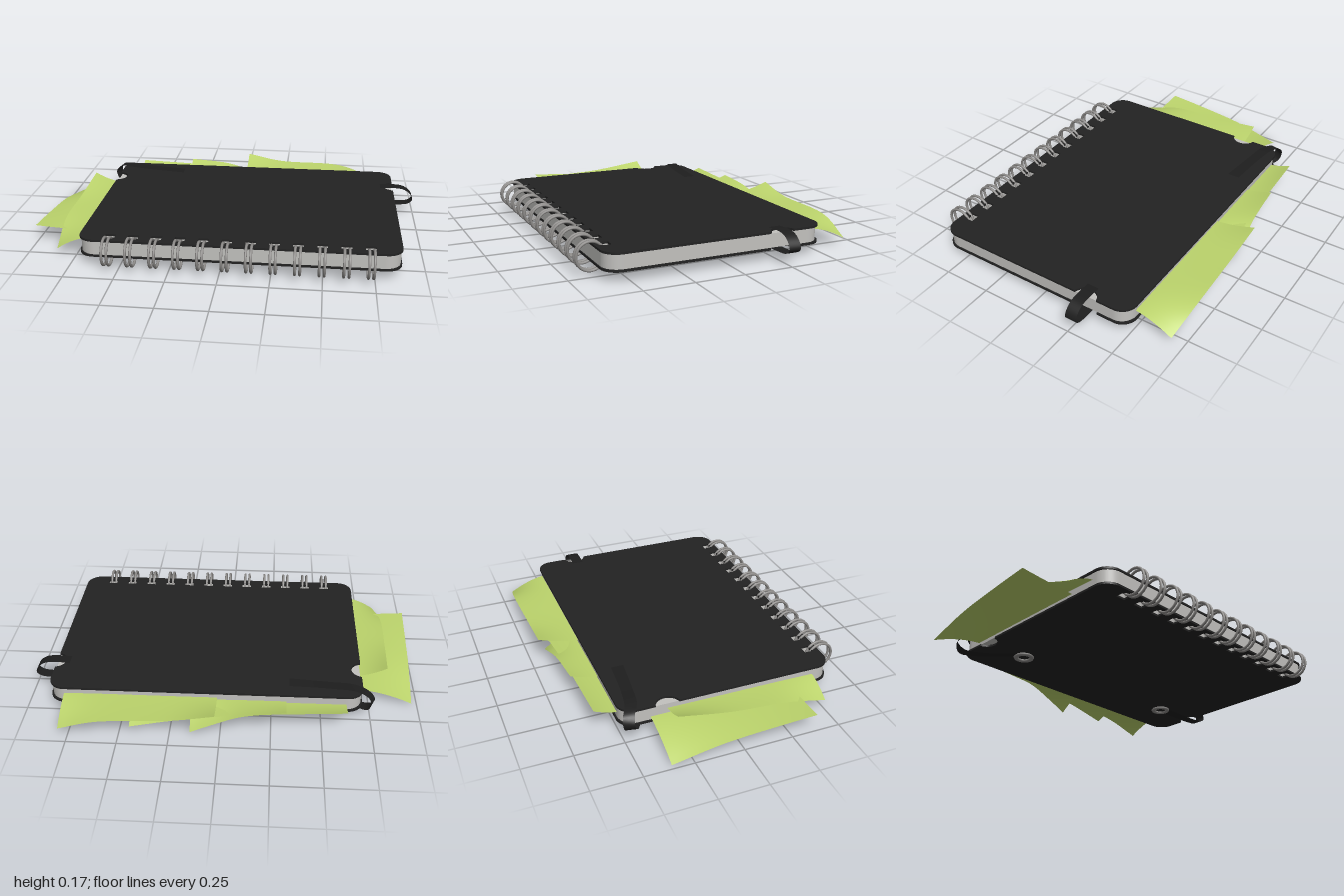
import * as THREE from 'three';

const HOLES = Array.from({ length: 12 }, (_, i) => -0.551 + i * 0.1162);

// Rounded outline in x/z, with optional half-round thumb notches and punched holes
function outline(x0, x1, z0, z1, r, notch) {
  const s = new THREE.Shape(), nz = -0.27;
  s.moveTo(x0 + r, z0);
  s.lineTo(x1 - r, z0);
  s.absarc(x1 - r, z0 + r, r, -Math.PI / 2, 0, false);
  if (notch) s.absarc(x1 + 0.012, nz, notch, -Math.PI / 2 - 0.2, Math.PI / 2 + 0.2, true);
  s.lineTo(x1, z1 - r);
  s.absarc(x1 - r, z1 - r, r, 0, Math.PI / 2, false);
  s.lineTo(x0 + r, z1);
  s.absarc(x0 + r, z1 - r, r, Math.PI / 2, Math.PI, false);
  if (notch) s.absarc(x0 - 0.012, nz, notch, Math.PI / 2 - 0.2, -Math.PI / 2 + 0.2, true);
  s.lineTo(x0, z0 + r);
  s.absarc(x0 + r, z0 + r, r, Math.PI, Math.PI * 1.5, false);
  for (const x of HOLES) {
    const h = new THREE.Path();
    h.moveTo(x - 0.026, 0.544);
    h.lineTo(x - 0.026, 0.583);
    h.lineTo(x + 0.026, 0.583);
    h.lineTo(x + 0.026, 0.544);
    h.closePath();
    s.holes.push(h);
  }
  return s;
}

// Horizontal plate between two heights
function plate(shape, yBottom, yTop) {
  const g = new THREE.ExtrudeGeometry(shape, { depth: yTop - yBottom, bevelEnabled: false, curveSegments: 12 });
  g.rotateX(Math.PI / 2);
  g.translate(0, yTop, 0);
  return g;
}

// Sheet lofted between two smooth edges; bend > 1 delays the change in height
function loft(edgeA, edgeB, nu, nv, bend = 1) {
  const curve = (e) => new THREE.CatmullRomCurve3(e.map((p) => new THREE.Vector3(...p)), false, 'centripetal');
  const a = curve(edgeA), b = curve(edgeB);
  const g = new THREE.PlaneGeometry(1, 1, nu, nv), pos = g.attributes.position;
  for (let j = 0, k = 0; j <= nv; j++) {
    for (let i = 0; i <= nu; i++, k++) {
      const v = j / nv, pa = a.getPoint(i / nu), pb = b.getPoint(i / nu);
      const p = pa.clone().lerp(pb, v);
      pos.setXYZ(k, p.x, pa.y + (pb.y - pa.y) * Math.pow(v, bend), p.z);
    }
  }
  g.computeVertexNormals();
  return g;
}

export function createModel() {
  const root = new THREE.Group();
  const mat = (name, color, side = THREE.FrontSide) => {
    const m = new THREE.MeshStandardMaterial({ color, side });
    m.name = name;
    return m;
  };
  const black = mat('black cover', 0x222222);
  const elastic = mat('black elastic', 0x1e1e1e, THREE.DoubleSide);
  const paper = mat('grey paper', 0xc2c1be);
  const green = mat('green notes', 0xbcd46c, THREE.DoubleSide);
  const metal = mat('metal', 0x8c8a88);
  const add = (name, geo, material, parent = root) => {
    const m = new THREE.Mesh(geo, material);
    m.name = name;
    parent.add(m);
    return m;
  };

  // Covers and page block
  const coverShape = outline(-0.71, 0.88, -0.505, 0.62, 0.08, 0.062);
  add('topCover', plate(coverShape, 0.137, 0.148), black);
  add('bottomCover', plate(coverShape, 0.056, 0.067), black);
  add('pages', plate(outline(-0.703, 0.873, -0.497, 0.615, 0.08, 0), 0.067, 0.137), paper);

  // Double wire binding
  const binding = new THREE.Group();
  binding.name = 'wireBinding';
  root.add(binding);
  const ringGeo = new THREE.TorusGeometry(0.068, 0.0068, 10, 36);
  ringGeo.rotateY(Math.PI / 2);
  for (const x of HOLES) {
    for (const d of [-1, 1]) {
      add('ring', ringGeo, metal, binding).position.set(x + d * 0.0125, 0.101, 0.64);
    }
  }

  // Sticky notes poking out at the back: left corner curls up, right corner droops
  const backNotes = [
    [[-0.625, 0.13, -0.61], [-0.1, 0.105, -0.625], [0.2, 0.08, -0.645], [0.45, 0.035, -0.655], 0.092],
    [[-0.325, 0.14, -0.637], [-0.1, 0.115, -0.65], [0.03, 0.07, -0.658], [0.15, 0.012, -0.655], 0.1],
    [[0.022, 0.162, -0.71], [0.22, 0.125, -0.705], [0.6, 0.105, -0.712], [0.8, 0.035, -0.69], 0.11],
  ];
  for (const [p, q, r, s, y] of backNotes) {
    const inner = [p, q, r, s].map(([x]) => [x, y, -0.46]);
    add('backNote', loft(inner, [p, q, r, s], 20, 8, 1.8), green);
  }

  // Sticky notes poking out at the side
  const sideNotes = [
    [[-0.975, 0.005, -0.355], [-0.985, 0.06, -0.1], [-0.993, 0.085, 0.15], [-1, 0.1, 0.375], 0.085],
    [[-0.845, 0.162, -0.27], [-0.86, 0.125, 0], [-0.866, 0.105, 0.28], [-0.845, 0.04, 0.515], 0.108],
  ];
  for (const [p, q, r, s, y] of sideNotes) {
    const inner = [p, q, r, s].map(([, , z]) => [-0.67, y, z]);
    add('sideNote', loft(inner, [p, q, r, s], 20, 8, 1.8), green);
  }

  // Elastic strap folded around the back corner
  add('cornerStrap', loft(
    [[-0.34, 0.149, -0.43], [-0.55, 0.156, -0.45], [-0.68, 0.159, -0.475], [-0.735, 0.14, -0.503],
      [-0.745, 0.1, -0.505], [-0.73, 0.06, -0.49], [-0.66, 0.05, -0.44], [-0.5, 0.054, -0.3]],
    [[-0.34, 0.149, -0.365], [-0.55, 0.153, -0.39], [-0.67, 0.157, -0.41], [-0.74, 0.145, -0.445],
      [-0.77, 0.105, -0.455], [-0.74, 0.06, -0.43], [-0.66, 0.05, -0.38], [-0.5, 0.054, -0.25]],
    48, 2), elastic);

  // Elastic loop at the other side
  const loop = [[0.81, 0.149], [0.88, 0.153], [0.94, 0.146], [0.98, 0.118], [0.993, 0.085],
    [0.97, 0.063], [0.9, 0.054], [0.8, 0.052], [0.64, 0.054]];
  add('sideLoop', loft(loop.map(([x, y]) => [x, y, -0.297]), loop.map(([x, y]) => [x, y, -0.235]), 40, 1), elastic);

  // Eyelets under the bottom cover
  for (const x of [0.62, -0.465]) {
    const eyelet = new THREE.TorusGeometry(0.042, 0.013, 8, 32);
    eyelet.rotateX(Math.PI / 2);
    eyelet.scale(1, 0.75, 1);
    add('eyelet', eyelet, metal).position.set(x, 0.053, -0.275);
  }
  return root;
}
